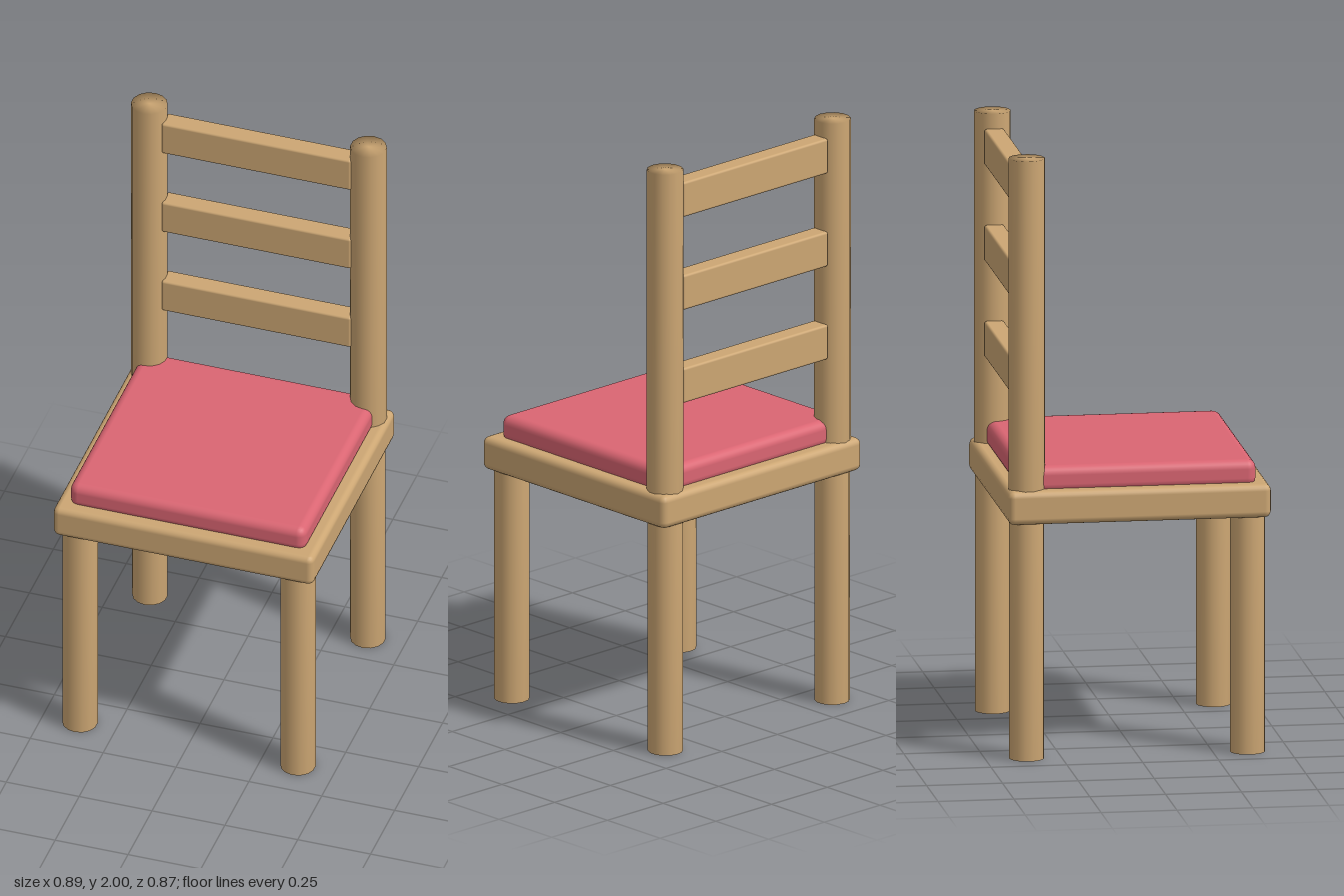
import * as THREE from 'three';
import { mergeVertices } from 'three/addons/utils/BufferGeometryUtils.js';
import { RoundedBoxGeometry } from 'three/addons/geometries/RoundedBoxGeometry.js';

// Round post with normals smoothed over the rims, standing on y = 0
function postGeometry(radius, height) {
  const g = new THREE.CylinderGeometry(radius, radius, height, 14);
  g.deleteAttribute('normal');
  g.deleteAttribute('uv');
  const merged = mergeVertices(g, 1e-4);
  merged.computeVertexNormals();
  return merged.translate(0, height / 2, 0);
}

export function createModel() {
  const wood = new THREE.MeshStandardMaterial({ color: 0xcca673 });
  wood.name = 'wood';
  const fabric = new THREE.MeshStandardMaterial({ color: 0xda6572 });
  fabric.name = 'cushion fabric';

  const chair = new THREE.Group();
  chair.name = 'chair';

  const add = (name, geometry, material, x, y, z) => {
    const mesh = new THREE.Mesh(geometry, material);
    mesh.name = name;
    mesh.position.set(x, y, z);
    chair.add(mesh);
  };

  // Seat board and cushion
  add('seat', new RoundedBoxGeometry(0.894, 0.112, 0.866, 2, 0.022), wood, 0, 0.845, 0);
  add('cushion', new RoundedBoxGeometry(0.81, 0.09, 0.78, 3, 0.03), fabric, 0, 0.93, 0);

  // Legs and back posts, mirrored left and right
  const leg = postGeometry(0.058, 0.8);
  const post = postGeometry(0.06, 1.105);
  for (const side of [1, -1]) {
    const label = side > 0 ? 'left' : 'right';
    add(`${label}FrontLeg`, leg, wood, side * 0.374, 0, 0.364);
    add(`${label}BackLeg`, leg, wood, side * 0.374, 0, -0.364);
    add(`${label}BackPost`, post, wood, side * 0.376, 0.895, -0.364);
  }

  // Three rungs of the backrest
  const rung = new RoundedBoxGeometry(0.65, 0.12, 0.066, 2, 0.008);
  [1.25, 1.57, 1.89].forEach((y, i) => add(`backRung${i + 1}`, rung, wood, 0, y, -0.366));

  return chair;
}
